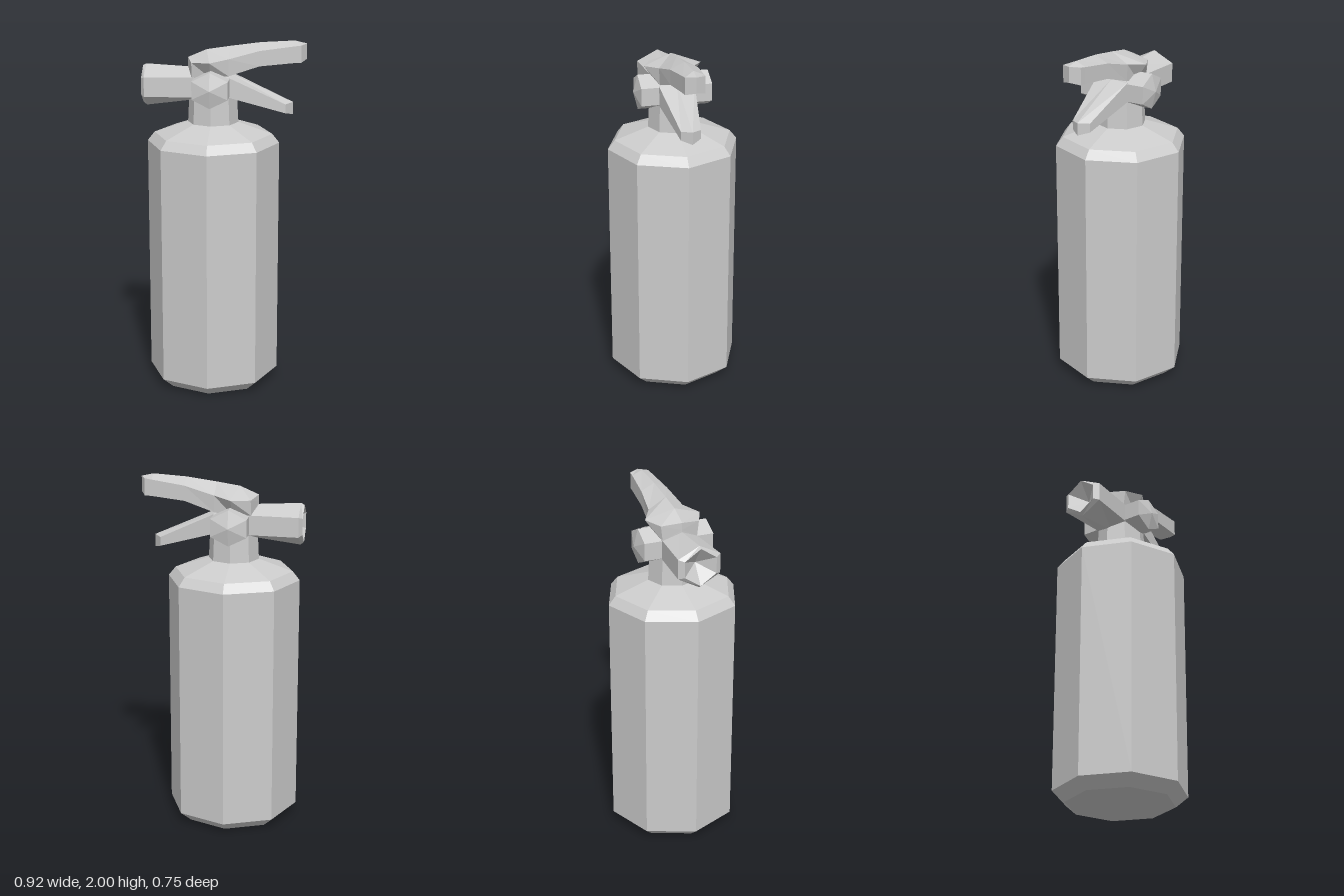
import * as THREE from 'three';

const AXIS_X = -0.065; // tank axis
const mat = new THREE.MeshStandardMaterial({ color: 0xcccccc, flatShading: true });

function add(parent, name, geometry) {
  const mesh = new THREE.Mesh(geometry, mat);
  mesh.name = name;
  parent.add(mesh);
  return mesh;
}

// Six-sided section across x: ridge, upper side, lower side, keel, mirrored in z.
// xm is the x of the ridge and keel, so ends can be pointed in plan.
function section({ x, xm = x, w, wb = w, ridge, top, bot, keel }) {
  return [
    [xm, ridge, 0], [x, top, w], [x, bot, wb],
    [xm, keel, 0], [x, bot, -wb], [x, top, -w],
  ];
}

// Skin between sections running towards +x, closed by fans at both ends
function loft(sections, startCentre) {
  const rings = sections.map(section);
  const pos = [];
  const tri = (a, b, c) => pos.push(...a, ...b, ...c);
  const centre = (r) => [0, 1, 2].map((k) => (r[0][k] + r[3][k]) / 2);
  const first = rings[0], last = rings[rings.length - 1];
  const c0 = startCentre || centre(first), c1 = centre(last);
  for (let j = 0; j < 6; j++) {
    const n = (j + 1) % 6;
    for (let i = 0; i < rings.length - 1; i++) {
      const a = rings[i], b = rings[i + 1];
      tri(a[j], a[n], b[n]);
      tri(a[j], b[n], b[j]);
    }
    tri(c0, first[n], first[j]);
    tri(c1, last[j], last[n]);
  }
  const g = new THREE.BufferGeometry();
  g.setAttribute('position', new THREE.Float32BufferAttribute(pos, 3));
  g.computeVertexNormals();
  return g;
}

const lathe = (points, sides) =>
  new THREE.LatheGeometry(points.map(([r, y]) => new THREE.Vector2(r, y)), sides);

export function createModel() {
  const group = new THREE.Group();
  group.name = 'fireExtinguisher';

  // Octagonal tank with chamfered base and sloping shoulder
  add(group, 'tank', lathe([
    [0, 0], [0.305, 0], [0.375, 0.06], [0.375, 1.42], [0.335, 1.47], [0.143, 1.535], [0, 1.535],
  ], 8)).position.x = AXIS_X;

  // Neck
  add(group, 'neck', lathe([
    [0.143, 1.53], [0.135, 1.69], [0, 1.69],
  ], 8)).position.x = AXIS_X;

  // Hexagonal cross valve with shallow pointed ends, lying along z
  const valve = lathe([
    [0, -0.225], [0.106, -0.2], [0.106, 0.2], [0, 0.225],
  ], 6);
  valve.rotateX(Math.PI / 2);
  valve.scale(0.1 / (0.106 * Math.cos(Math.PI / 6)), 0.1 / 0.106, 1);
  add(group, 'valve', valve).position.set(AXIS_X, 1.745, 0);

  // Flared nozzle with a conical mouth
  add(group, 'nozzle', loft([
    { x: -0.46, w: 0.09, ridge: 1.85, top: 1.79, bot: 1.70, keel: 1.64 },
    { x: -0.44, w: 0.12, ridge: 1.86, top: 1.80, bot: 1.69, keel: 1.625 },
    { x: -0.165, w: 0.1, ridge: 1.845, top: 1.80, bot: 1.69, keel: 1.66 },
    { x: AXIS_X, w: 0.1, ridge: 1.845, top: 1.80, bot: 1.69, keel: 1.66 },
  ], [-0.38, 1.745, 0]));

  // Lower carrying handle, sloping down
  add(group, 'carryHandle', loft([
    { x: AXIS_X, w: 0.1, ridge: 1.84, top: 1.80, bot: 1.69, keel: 1.66 },
    { x: 0.035, w: 0.1, ridge: 1.81, top: 1.80, bot: 1.69, keel: 1.68 },
    { x: 0.345, xm: 0.385, w: 0.055, ridge: 1.655, top: 1.65, bot: 1.60, keel: 1.585 },
  ]));

  // Upper squeeze lever with a broad hood over the valve
  add(group, 'squeezeLever', loft([
    { x: -0.175, xm: -0.205, w: 0.11, wb: 0.1, ridge: 1.9, top: 1.885, bot: 1.80, keel: 1.82 },
    { x: -0.07, xm: -0.1, w: 0.16, wb: 0.1, ridge: 1.945, top: 1.89, bot: 1.80, keel: 1.80 },
    { x: 0.03, w: 0.1, wb: 0.095, ridge: 1.965, top: 1.905, bot: 1.81, keel: 1.85 },
    { x: 0.2, w: 0.077, ridge: 1.988, top: 1.95, bot: 1.865, keel: 1.89 },
    { x: 0.39, w: 0.058, ridge: 2.0, top: 1.975, bot: 1.883, keel: 1.9 },
    { x: 0.43, xm: 0.458, w: 0.055, ridge: 1.985, top: 1.98, bot: 1.885, keel: 1.898 },
  ]));

  return group;
}
